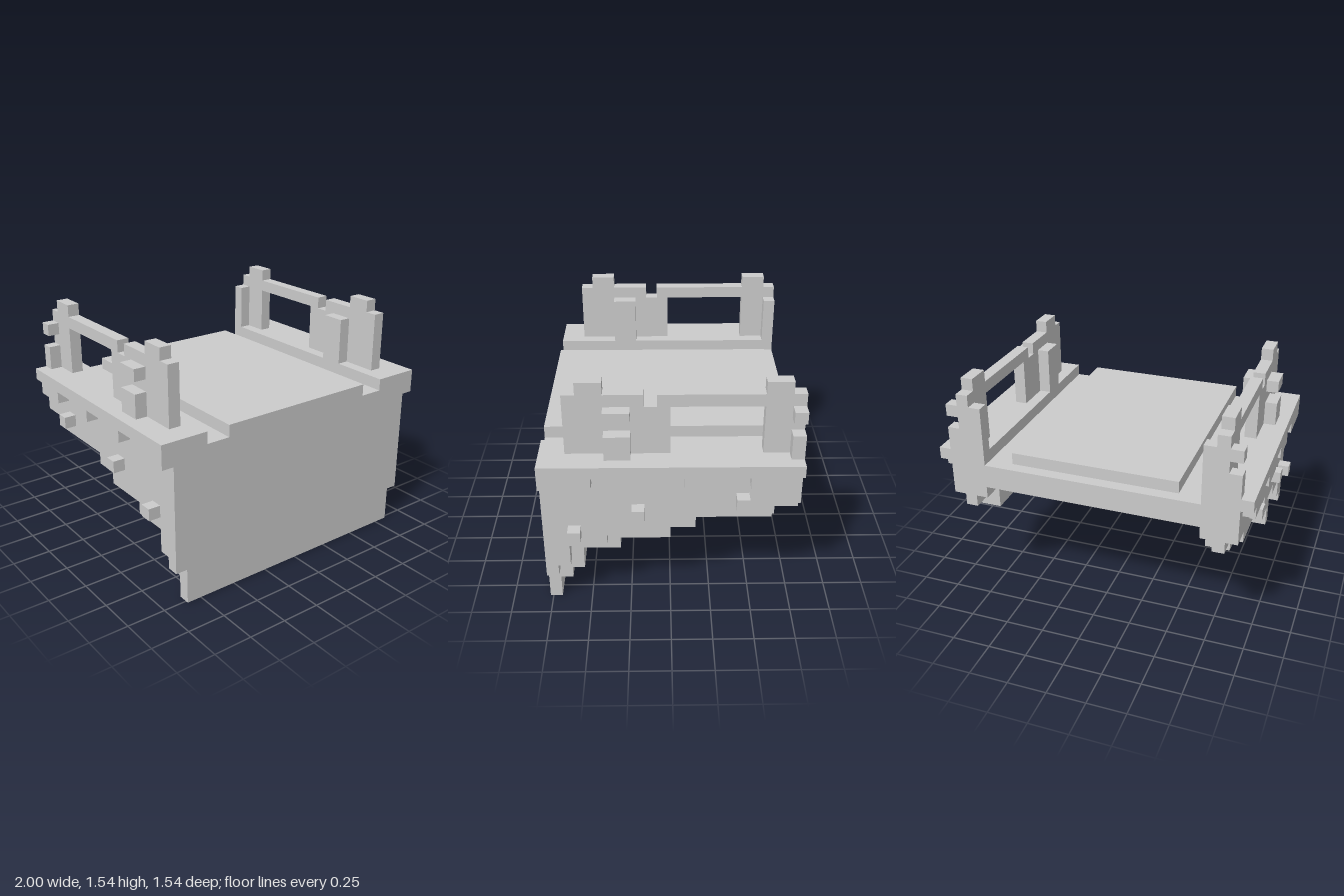
import * as THREE from 'three';

const U = 1 / 13; // one block

export function createModel() {
  const root = new THREE.Group();
  root.name = 'blockPlatform';
  const mat = new THREE.MeshStandardMaterial({ color: 0xcccccc, flatShading: true });

  function add(name, geo) {
    const mesh = new THREE.Mesh(geo.scale(U, U, U), mat);
    mesh.name = name;
    root.add(mesh);
  }

  // Box between two block corners
  function box(name, x0, x1, y0, y1, z0, z1) {
    const g = new THREE.BoxGeometry(x1 - x0, y1 - y0, z1 - z0);
    add(name, g.translate((x0 + x1) / 2, (y0 + y1) / 2, (z0 + z1) / 2));
  }

  // Side profile of [z, y] points, extruded from x0 to x1
  function slab(name, points, x0, x1) {
    const shape = new THREE.Shape(points.map(([z, y]) => new THREE.Vector2(z, y)));
    const g = new THREE.ExtrudeGeometry(shape, { depth: x1 - x0, bevelEnabled: false });
    add(name, g.rotateY(-Math.PI / 2).translate(x1, 0, 0));
  }

  // Profile with a flat top and a stepped underside; steps are [zEnd, bottomY] from front to back
  function stepped(top, steps) {
    const pts = [[-10, top], [10, top]];
    let z = 10;
    for (const [end, y] of steps) {
      pts.push([z, y], [end, y]);
      z = end;
    }
    return pts;
  }

  // The same part on both sides
  const both = (x0, x1, build) => {
    build('left', x0, x1);
    build('right', -x1, -x0);
  };

  // Central hull: front wall, deck and stepped underside
  slab('hull', stepped(13,
    [[9, 0], [8, 2], [7, 4], [4, 7], [0, 8], [-2, 9], [-8, 10], [-10, 11]]), -9, 9);

  // Toothed ledge behind the front wall
  for (const [a, b] of [[-9, -8], [-7, -3], [-2, 2], [3, 7], [8, 9]]) {
    box('ledgeTooth', a, b, 3, 4, 7, 8);
  }

  // Raised deck panel
  box('deckPanel', -7, 7, 13, 14, -9, 10);

  // Ribs under the deck, wider towards the front, and outer side walls
  const ribSteps = [[9, 0], [8, 2], [7, 3], [4, 5], [0, 6], [-2, 7], [-8, 8]];
  both(10, 11, (s, a, b) => slab(s + 'Rib', stepped(14, [...ribSteps, [-10, 9]]), a, b));
  both(9, 10, (s, a, b) => slab(s + 'InnerRib', stepped(14, [...ribSteps, [-10, 10]]), a, b));
  both(8, 9, (s, a, b) => slab(s + 'RibThickening',
    [[0, 8], [7, 8], [7, 5], [4, 5], [4, 6], [0, 6]], a, b));
  both(11, 12, (s, a, b) => slab(s + 'Wall', stepped(14,
    [[9, 3], [8, 4], [5, 6], [1, 7], [-1, 8], [-8, 9], [-10, 10]]), a, b));

  // Overhanging lip with notched lower edge, and wall studs
  both(12, 13, (s, a, b) => {
    slab(s + 'Lip', stepped(14,
      [[6, 12], [4, 13], [1, 12], [-1, 13], [-4, 12], [-6, 13], [-9, 12], [-10, 13]]), a, b);
    for (const [z, y] of [[7, 7], [2, 9], [-6, 10]]) box(s + 'Stud', a, b, y, y + 1, z, z + 1);
  });

  // Railings with a long window
  both(10, 11, (s, a, b) => slab(s + 'Railing', [
    [-10, 14], [-7, 14], [-7, 18], [0, 18], [0, 14], [8, 14], [8, 19], [7, 19], [7, 20],
    [5, 20], [5, 19], [2, 19], [2, 18], [1, 18], [1, 19], [-7, 19], [-7, 20], [-9, 20],
    [-9, 19], [-10, 19],
  ], a, b));

  // Railing posts: inner uprights, outer blocks
  for (const [z0, z1] of [[3, 5], [-10, -9]]) {
    both(9, 10, (s, a, b) => box(s + 'InnerPost', a, b, 14, 18, z0, z1));
    both(11, 12, (s, a, b) => {
      box(s + 'OuterPostBase', a, b, 14, 16, z0, z1);
      box(s + 'OuterPostCap', a, b, 17, 18, z0, z1);
    });
  }

  return root;
}
